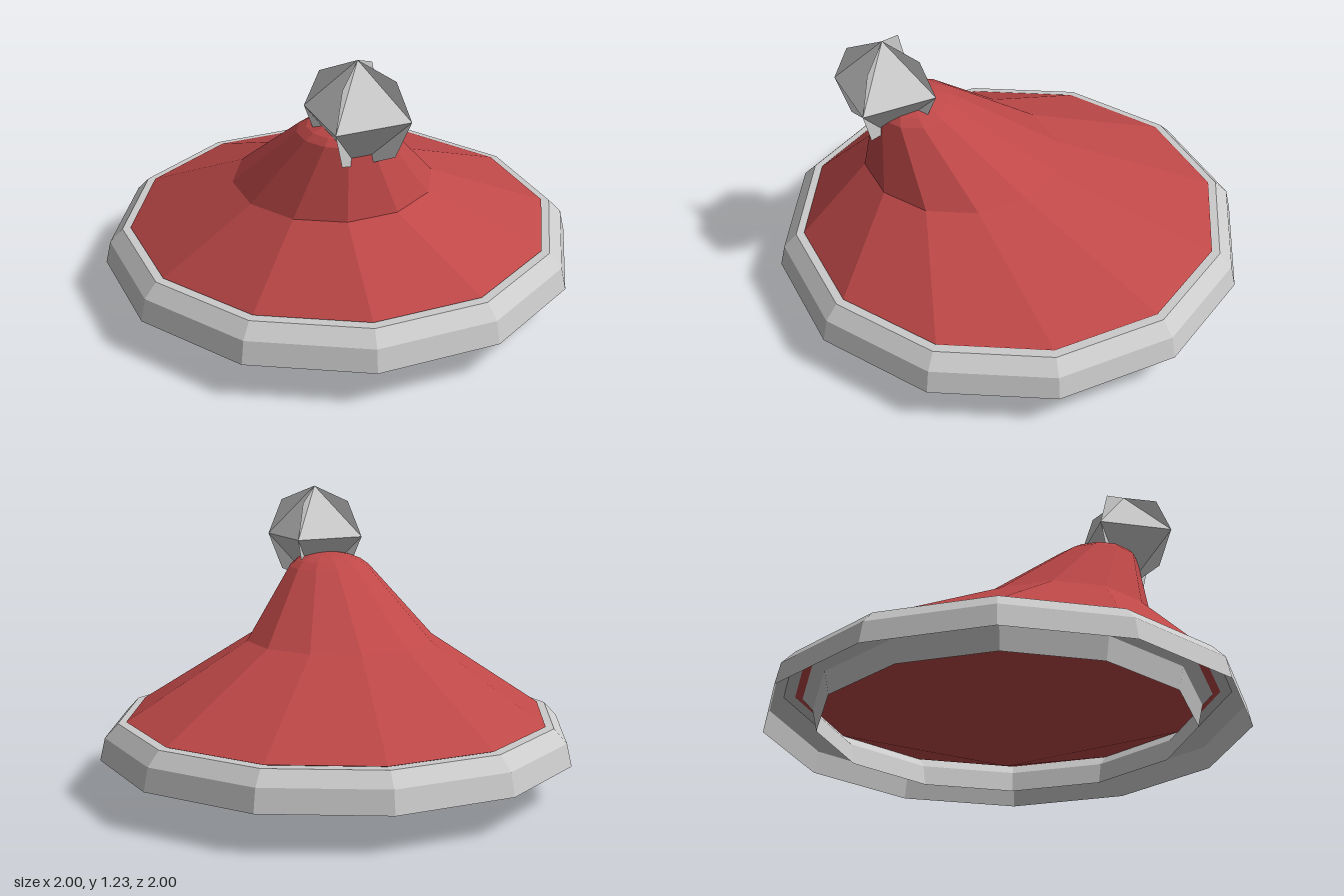
import * as THREE from 'three';

const SIDES = 12;
const material = (color, side = THREE.FrontSide) =>
  new THREE.MeshStandardMaterial({ color, side, flatShading: true });

function addMesh(group, name, geometry, mat) {
  const mesh = new THREE.Mesh(geometry, mat);
  mesh.name = name;
  group.add(mesh);
  return mesh;
}

// Joins level rings given as [centreX, y, centreZ, radius], lowest first
function loft(rings) {
  const positions = [];
  const index = [];
  rings.forEach(([cx, y, cz, r], j) => {
    for (let i = 0; i < SIDES; i++) {
      const a = (i / SIDES) * Math.PI * 2;
      positions.push(cx + r * Math.sin(a), y, cz + r * Math.cos(a));
      if (j === 0) continue;
      const n = (i + 1) % SIDES;
      const lo = (j - 1) * SIDES;
      const hi = j * SIDES;
      if (rings[j - 1][3] > 0) index.push(lo + i, lo + n, hi + n);
      if (r > 0) index.push(lo + i, hi + n, hi + i);
    }
  });
  const geometry = new THREE.BufferGeometry();
  geometry.setAttribute('position', new THREE.Float32BufferAttribute(positions, 3));
  geometry.setIndex(index);
  geometry.computeVertexNormals();
  return geometry;
}

export function createModel() {
  const hat = new THREE.Group();
  hat.name = 'hat';

  // Crown: pointed underside, wide edge, then a neck leaning to a rounded tip
  addMesh(hat, 'crown', loft([
    [0, 0, 0, 0],
    [0, 0.317, 0, 0.89],
    [0.05, 0.6, 0.2, 0.41],
    [0.15, 0.89, 0.35, 0.18],
    [0.157, 0.917, 0.36, 0.145],
    [0.163, 0.935, 0.367, 0.1],
    [0.167, 0.944, 0.372, 0.05],
    [0.17, 0.947, 0.375, 0],
  ]), material(0xbf4848));

  // Brim: half-round band, open underneath
  const profile = [];
  for (let i = 0; i <= 5; i++) {
    const a = (i / 5) * Math.PI;
    profile.push(new THREE.Vector2(0.89 + 0.11 * Math.cos(a), 0.16 + 0.16 * Math.sin(a)));
  }
  addMesh(hat, 'brim', new THREE.LatheGeometry(profile, SIDES),
    material(0xcccccc, THREE.DoubleSide));

  // Pompom: faceted core with two thin upright octagonal discs crossing in it
  const pompom = new THREE.Group();
  pompom.name = 'pompom';
  pompom.position.set(0.25, 1.01, 0.445);
  addMesh(pompom, 'pompomCore', new THREE.OctahedronGeometry(0.22), material(0xcccccc));
  for (const turn of [0, Math.PI / 2]) {
    addMesh(pompom, 'pompomDisc', new THREE.CircleGeometry(0.22, 8),
      material(0xcccccc, THREE.DoubleSide)).rotation.y = turn;
  }
  hat.add(pompom);

  return hat;
}
